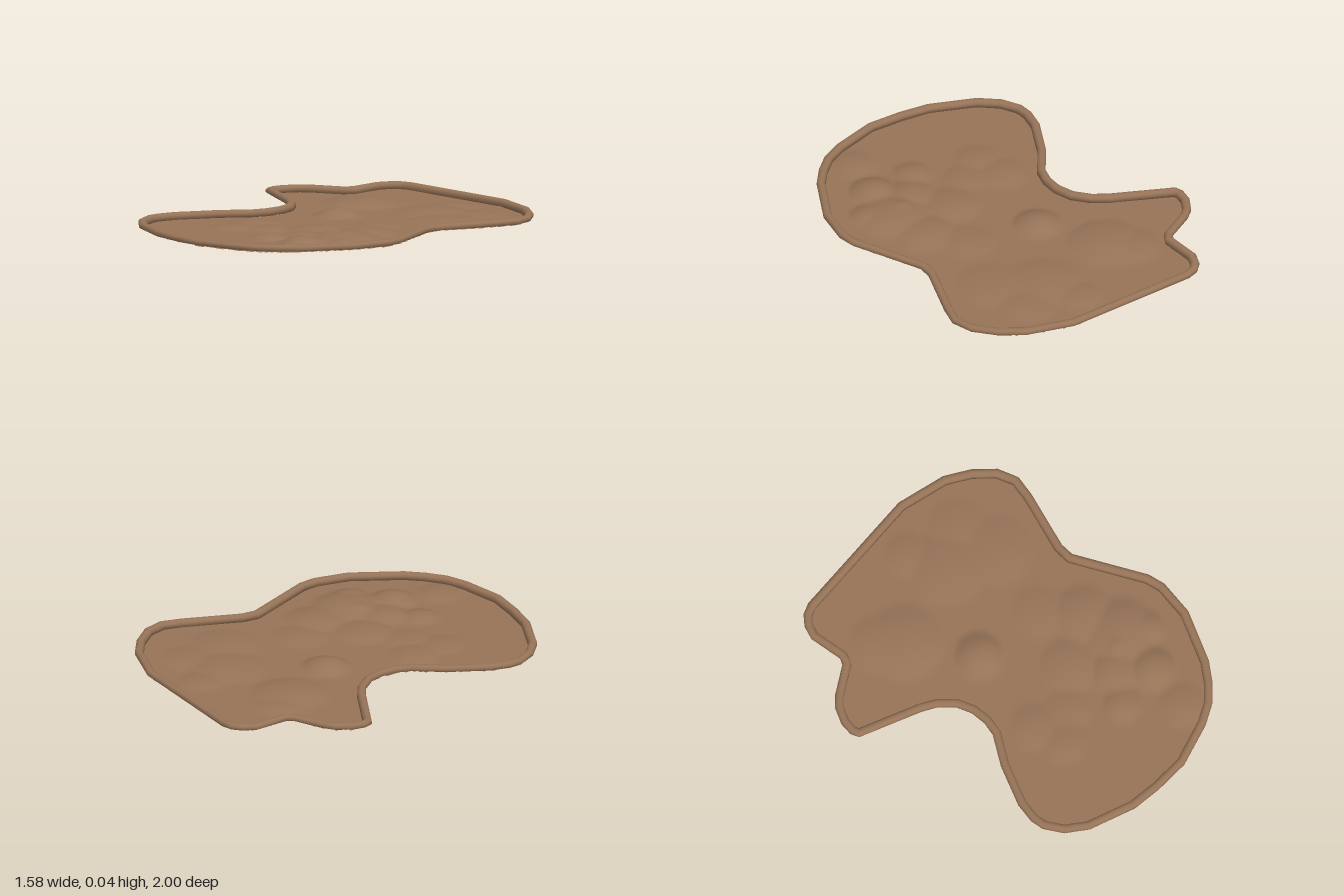
import * as THREE from 'three';

// outer outline of the puddle as [x, z], starting at the back left
const OUTLINE = [
  [-0.36, -1], [0.33, -0.95], [0.57, -0.855], [0.68, -0.765], [0.76, -0.66], [0.785, -0.55],
  [0.75, -0.445], [0.625, -0.17], [0.615, -0.1], [0.635, -0.045], [0.75, 0.27], [0.757, 0.36],
  [0.71, 0.54], [0.56, 0.775], [0.48, 0.855], [0.39, 0.92], [0.28, 0.96], [0.05, 0.997],
  [-0.13, 0.972], [-0.28, 0.935], [-0.5, 0.82], [-0.59, 0.73], [-0.635, 0.63], [-0.635, 0.56],
  [-0.605, 0.46], [-0.49, 0.27], [-0.38, 0.14], [-0.355, 0.07], [-0.35, -0.01], [-0.37, -0.09],
  [-0.425, -0.165], [-0.49, -0.215], [-0.778, -0.385], [-0.79, -0.43], [-0.775, -0.495],
  [-0.725, -0.57], [-0.67, -0.61], [-0.52, -0.675], [-0.5, -0.705], [-0.5, -0.88],
  [-0.467, -0.945], [-0.42, -0.985],
];

// rim cross-section as [inset, height]
const RIM = [
  [0.007, 0.008], [0, 0.014], [0, 0.026], [0.006, 0.034], [0.015, 0.038],
  [0.027, 0.038], [0.037, 0.032], [0.042, 0.022], [0.042, 0.003], [0.025, 0.005],
];

// mounds on the floor as [x, z, radius, height]
const MOUNDS = [
  [-0.24, -0.5, 0.2, 0.029], [-0.32, -0.6, 0.15, 0.02], [-0.08, -0.16, 0.125, 0.041],
  [0.2, -0.56, 0.2, 0.022], [0.14, -0.76, 0.12, 0.016], [0.42, -0.42, 0.19, 0.018],
  [0.4, -0.65, 0.15, 0.015], [0.28, -0.06, 0.14, 0.014], [0.4, 0.13, 0.16, 0.026],
  [0.14, 0.23, 0.15, 0.022], [0.43, 0.34, 0.19, 0.036], [0.52, 0.42, 0.1, 0.028],
  [0.36, 0.36, 0.08, 0.04], [0.37, 0.57, 0.12, 0.041], [0.13, 0.56, 0.1, 0.024],
  [0.25, 0.43, 0.13, 0.028], [0.3, 0.8, 0.12, 0.018], [-0.2, 0.45, 0.12, 0.016],
  [-0.22, 0.28, 0.13, 0.018], [-0.05, 0.36, 0.12, 0.015],
];

// moves the outline inward with mitred corners
function inset(d) {
  const n = OUTLINE.length;
  return OUTLINE.map(([x, z], i) => {
    const [px, pz] = OUTLINE[(i + n - 1) % n], [qx, qz] = OUTLINE[(i + 1) % n];
    const a = new THREE.Vector2(pz - z, x - px).normalize();
    const b = new THREE.Vector2(z - qz, qx - x).normalize();
    const k = d / (1 + a.dot(b));
    return [x + (a.x + b.x) * k, z + (a.y + b.y) * k];
  });
}

function inside(poly, x, z) {
  let hit = false;
  poly.forEach(([ax, az], i) => {
    const [bx, bz] = poly[(i + 1) % poly.length];
    if ((az > z) !== (bz > z) && x < ax + ((bx - ax) * (z - az)) / (bz - az)) hit = !hit;
  });
  return hit;
}

// floor height: gentle waves with rounded mounds on top
function height(x, z) {
  let y = 0;
  for (const [mx, mz, r, h] of MOUNDS) {
    const d2 = ((x - mx) ** 2 + (z - mz) ** 2) / (r * r);
    if (d2 < 1) y = Math.max(y, h * (1 - d2));
  }
  return 0.004 + y + 0.002 * Math.sin(x * 5) * Math.cos(z * 4);
}

function makeGeometry(positions, indices) {
  const geo = new THREE.BufferGeometry();
  geo.setAttribute('position', new THREE.Float32BufferAttribute(positions, 3));
  geo.setIndex(indices);
  geo.computeVertexNormals();
  return geo;
}

// rounded raised edge, swept around the outline
function rimGeometry() {
  const n = OUTLINE.length, m = RIM.length, pos = [], idx = [];
  for (const [d, y] of RIM) for (const [x, z] of inset(d)) pos.push(x, y, z);
  for (let j = 0; j < m; j++) {
    for (let i = 0; i < n; i++) {
      const i2 = (i + 1) % n, j2 = (j + 1) % m;
      const a = j * n + i, b = j2 * n + i, c = j * n + i2, d = j2 * n + i2;
      idx.push(a, b, c, c, b, d);
    }
  }
  return makeGeometry(pos, idx);
}

// bumpy sheet whose edge is tucked under the rim
function floorGeometry() {
  const step = 0.02, nx = 82, nz = 102, pos = [], idx = [], border = inset(0.022);
  const ids = new Map();
  const vertex = (i, j) => {
    const key = j * 1000 + i;
    if (!ids.has(key)) {
      const x = (i - nx / 2) * step, z = (j - nz / 2) * step;
      ids.set(key, pos.length / 3);
      pos.push(x, height(x, z), z);
    }
    return ids.get(key);
  };
  for (let j = 0; j < nz; j++) {
    for (let i = 0; i < nx; i++) {
      if (!inside(border, (i + 0.5 - nx / 2) * step, (j + 0.5 - nz / 2) * step)) continue;
      const a = vertex(i, j), b = vertex(i, j + 1), c = vertex(i + 1, j), d = vertex(i + 1, j + 1);
      idx.push(a, b, c, c, b, d);
    }
  }
  // the lowest hollow rests on the ground
  let low = Infinity;
  for (let k = 1; k < pos.length; k += 3) low = Math.min(low, pos[k]);
  for (let k = 1; k < pos.length; k += 3) pos[k] -= low;
  return makeGeometry(pos, idx);
}

export function createModel() {
  const mud = new THREE.MeshStandardMaterial({ color: 0x967357 });
  mud.name = 'mud brown';
  mud.side = THREE.DoubleSide;

  const group = new THREE.Group();
  group.name = 'mudPuddle';
  const rim = new THREE.Mesh(rimGeometry(), mud);
  rim.name = 'rim';
  const floor = new THREE.Mesh(floorGeometry(), mud);
  floor.name = 'mudFloor';
  group.add(rim, floor);
  return group;
}
